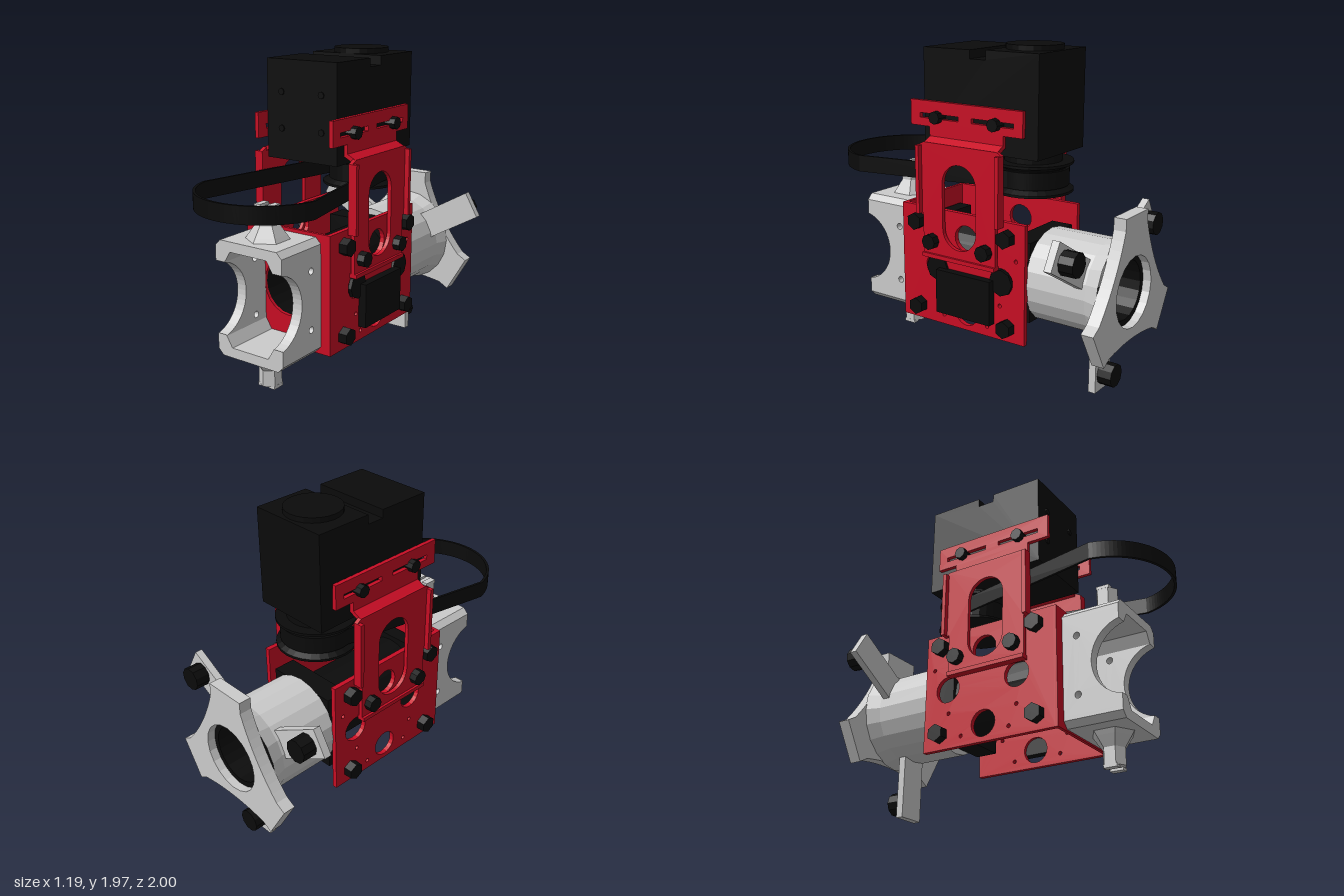
import * as THREE from 'three';

const mat = (color) => new THREE.MeshStandardMaterial({ color, flatShading: true, side: THREE.DoubleSide });
const grey = mat(0xcccccc), red = mat(0xc80d24), black = mat(0x0b0b0b);
const AXIS_Y = 0.64; // height of the through bore

export function createModel() {
  const root = new THREE.Group();

  const add = (name, geo, material, x = 0, y = 0, z = 0) => {
    const m = new THREE.Mesh(geo, material);
    m.name = name;
    m.position.set(x, y, z);
    root.add(m);
    return m;
  };
  // Box given by its limits
  const box = (name, material, x0, x1, y0, y1, z0, z1) =>
    add(name, new THREE.BoxGeometry(x1 - x0, y1 - y0, z1 - z0), material, (x0 + x1) / 2, (y0 + y1) / 2, (z0 + z1) / 2);
  const poly = (pts) => new THREE.Shape(pts.map(([a, b]) => new THREE.Vector2(a, b)));
  const rect = (a0, a1, b0, b1) => poly([[a0, b0], [a1, b0], [a1, b1], [a0, b1]]);
  const circle = (a, b, r) => new THREE.Path().absarc(a, b, r, 0, Math.PI * 2, true);
  const extrude = (shape, depth) => new THREE.ExtrudeGeometry(shape, { depth, bevelEnabled: false, curveSegments: 10 });
  // Profile in (x, y) extruded between two z values
  const alongZ = (name, material, shape, z0, z1) => add(name, extrude(shape, z1 - z0), material, 0, 0, z0);
  // Profile in (z, y) extruded between two x values
  const alongX = (name, material, shape, x0, x1) =>
    add(name, extrude(shape, x1 - x0).rotateY(-Math.PI / 2), material, x1);
  const lathe = (pts, n) => new THREE.LatheGeometry(pts.map(([r, h]) => new THREE.Vector2(r, h)), n);
  // Bolt head lying along x
  const bolt = (name, s, x0, x1, y, z, r, sides = 6) =>
    add(name, new THREE.CylinderGeometry(r, r, x1 - x0, sides).rotateX(Math.PI / 2).rotateY(Math.PI / 2), black, s * (x0 + x1) / 2, y, z);

  // Main U bracket: front plate and two side plates
  const front = rect(-0.3, 0.3, 0.28, 1.0);
  front.holes.push(circle(0, AXIS_Y, 0.175));
  alongZ('bracketFrontPlate', red, front, 0.4, 0.42);

  for (const s of [-1, 1]) {
    const span = (a, b) => (s > 0 ? [a, b] : [-b, -a]);

    const side = rect(-0.47, 0.41, 0.28, 1.0);
    for (const [z, y] of [[-0.06, 0.85], [-0.06, 0.39], [0.16, 0.64], [-0.31, 0.64]]) side.holes.push(circle(z, y, 0.08));
    for (const [z, y] of [[0.19, 0.77], [-0.41, 0.78], [0.16, 0.46], [-0.3, 0.49], [0.11, 0.34], [-0.21, 0.34]])
      side.holes.push(circle(z, y, 0.012));
    alongX('bracketSidePlate', red, side, ...span(0.27, 0.3));
    for (const z of [0.29, -0.355]) for (const y of [0.37, 0.91]) bolt('bracketBolt', s, 0.3, 0.355, y, z, 0.053);

    // Motor support arm: long panel, flanges, bend and slotted rail
    const panel = poly([[0.23, 0.73], [0.23, 0.97], [0.26, 0.97], [0.26, 1.38], [0.22, 1.4], [-0.3, 1.4],
      [-0.33, 1.38], [-0.33, 0.97], [-0.29, 0.97], [-0.29, 0.73]]);
    const slot = new THREE.Path();
    slot.absarc(-0.035, 1.17, 0.12, 0, Math.PI, false);
    slot.absarc(-0.035, 0.9, 0.12, Math.PI, Math.PI * 2, false);
    panel.holes.push(slot);
    alongX('armPanel', red, panel, ...span(0.31, 0.335));
    for (const z of [0.235, -0.33]) box('armFlange', red, ...span(0.33, 0.365), 0.97, 1.38, z, z + 0.025);
    box('armFoot', red, ...span(0.3, 0.35), 0.705, 0.73, -0.29, 0.23);
    const bend = [[0.25, 1.5], [0.275, 1.5], [0.275, 1.425], [0.335, 1.395], [0.335, 1.37], [0.31, 1.37], [0.31, 1.38], [0.25, 1.41]];
    alongZ('armBend', red, poly(bend.map(([x, y]) => [s * x, y])), -0.3, 0.22);
    const rail = rect(-0.43, 0.36, 1.48, 1.63);
    rail.holes.push(rect(0.01, 0.29, 1.528, 1.556), rect(-0.37, -0.08, 1.528, 1.556));
    alongX('armRail', red, rail, ...span(0.25, 0.275));
    for (const z of [0.16, -0.25]) bolt('railScrew', s, 0.24, 0.312, 1.54, z, 0.038, 8);
    for (const z of [0.16, -0.225]) bolt('armBolt', s, 0.3, 0.382, 0.81, z, 0.047, 8);
  }

  // Control box on the left plate
  box('sideBox', black, 0.29, 0.35, 0.37, 0.64, -0.26, 0.13);
  for (const z of [0.15, -0.31]) bolt('sideBoxBoss', 1, 0.29, 0.312, 0.635, z, 0.08, 8);

  // Bearing blocks and liner of the through bore
  for (const [z0, z1] of [[0.3, 0.39], [-0.46, -0.32]]) {
    const block = rect(-0.23, 0.23, 0.4, 0.88);
    block.holes.push(circle(0, AXIS_Y, 0.177));
    alongZ('bearingBlock', black, block, z0, z1);
  }
  add('boreLiner', lathe([[0.176, -0.4], [0.212, -0.4], [0.212, 0.95], [0.176, 0.95], [0.176, -0.4]], 20)
    .rotateX(-Math.PI / 2), black, 0, AXIS_Y);

  // Rear tube, widening into the three armed flange
  add('rearTube', lathe([[0.2, 0.46], [0.28, 0.46], [0.28, 0.84], [0.31, 0.93]], 20).rotateX(-Math.PI / 2), grey, 0, AXIS_Y);
  const star = new THREE.Shape();
  const at = (a, r, w) => [Math.cos(a) * r - Math.sin(a) * w, AXIS_Y + Math.sin(a) * r + Math.cos(a) * w];
  for (let i = 0; i < 3; i++) {
    const a = Math.PI / 2 + i * Math.PI * 2 / 3;
    if (i === 0) star.moveTo(...at(a, 0.45, -0.13));
    else star.lineTo(...at(a, 0.45, -0.13));
    star.lineTo(...at(a, 0.45, 0.13));
    star.lineTo(...at(a, 0.38, 0.13));
    star.quadraticCurveTo(...at(a + Math.PI / 3, 0.25, 0), ...at(a + Math.PI * 2 / 3, 0.38, -0.13));
  }
  star.holes.push(circle(0, AXIS_Y, 0.21));
  alongZ('rearFlange', grey, star, -1, -0.925);

  // Mounting tabs with bolts around the rear tube
  for (const deg of [30, 150, 270]) {
    const tab = new THREE.Group();
    tab.name = 'mountingTab';
    tab.position.y = AXIS_Y;
    tab.rotation.z = deg * Math.PI / 180;
    const plate = new THREE.Mesh(new THREE.BoxGeometry(0.38, 0.17, 0.045), grey);
    plate.name = 'tabPlate';
    plate.position.set(0.45, 0, -0.8);
    const head = new THREE.Mesh(new THREE.CylinderGeometry(0.07, 0.07, 0.09, 10).rotateX(Math.PI / 2), black);
    head.name = 'tabBolt';
    head.position.set(0.535, 0, -0.865);
    tab.add(plate, head);
    root.add(tab);
  }

  // Front yoke: scooped cheeks joined by chamfered top and bottom bars
  const cheek = new THREE.Shape();
  cheek.moveTo(0.42, 0.35);
  cheek.lineTo(0.77, 0.35);
  cheek.lineTo(0.77, 0.42);
  cheek.absarc(0.82, 0.635, 0.225, -1.795, -4.488, true);
  cheek.lineTo(0.77, 0.92);
  cheek.lineTo(0.42, 0.92);
  cheek.holes.push(circle(0.51, 0.81, 0.02), circle(0.51, 0.46, 0.02));
  for (const x of [-0.235, 0.17]) alongX('yokeCheek', grey, cheek, x, x + 0.065);
  for (const s of [-1, 1]) {
    const bar = [[-0.235, 0.285], [-0.235, 0.31], [-0.2, 0.345], [0.2, 0.345], [0.235, 0.31], [0.235, 0.285],
      [0.17, 0.22], [0.13, 0.285], [-0.13, 0.285], [-0.17, 0.22]];
    alongZ('yokeBar', grey, poly(bar.map(([x, y]) => [x, 0.635 + s * y])), 0.42, 0.77);
    // Pivot with flared base and slotted hexagonal pin
    const pivot = add('yokePivot', lathe([[0.13, 0.34], [0.11, 0.37], [0.075, 0.42], [0.068, 0.43], [0.068, 0.53], [0, 0.53]], 6), grey, 0, 0.635, 0.595);
    if (s < 0) pivot.rotation.x = Math.PI;
    for (const x of [-0.04, 0.04]) box('pinTip', grey, x - 0.02, x + 0.02, 0.635 + s * 0.535 - 0.01, 0.635 + s * 0.535 + 0.01, 0.555, 0.635);
  }

  // Motor body with stepped top and low collar
  const motor = poly([[0.28, 1.36], [0.28, 1.935], [-0.05, 1.935], [-0.05, 1.885], [-0.16, 1.885], [-0.16, 1.94],
    [-0.51, 1.94], [-0.51, 1.36]]);
  alongX('motorBody', black, motor, -0.245, 0.245);
  add('motorCap', new THREE.CylinderGeometry(0.165, 0.165, 0.04, 24), black, 0, 1.95, -0.325);
  add('motorCollar', new THREE.CylinderGeometry(0.17, 0.17, 0.08, 24), black, 0, 1.33, -0.325);
  for (const s of [-1, 1]) for (const y of [1.54, 1.75])
    add('motorScrew', new THREE.CylinderGeometry(0.02, 0.02, 0.01, 8).rotateX(Math.PI / 2), black, s * 0.14, y, 0.282);

  // Drive pulley
  add('drivePulley', lathe([[0, 1.13], [0.235, 1.13], [0.235, 1.145], [0.195, 1.165], [0.195, 1.275], [0.235, 1.295],
    [0.235, 1.31], [0, 1.31]], 28), black, 0, 0, -0.325);

  // Belt looping around the front pivot
  const R = 0.4, r = 0.21, zBig = 0.6, zSmall = -0.325;
  const t = Math.asin((R - r) / (zBig - zSmall));
  const loop = (path, off) => {
    path.absarc(0, zBig, R - off, t, Math.PI - t, false);
    path.absarc(0, zSmall, r - off, Math.PI - t, Math.PI * 2 + t, false);
    path.closePath();
    return path;
  };
  const belt = loop(new THREE.Shape(), 0);
  belt.holes.push(loop(new THREE.Path(), 0.016));
  add('driveBelt', new THREE.ExtrudeGeometry(belt, { depth: 0.1, bevelEnabled: false, curveSegments: 24 })
    .rotateX(Math.PI / 2), black, 0, 1.27);

  return root;
}
